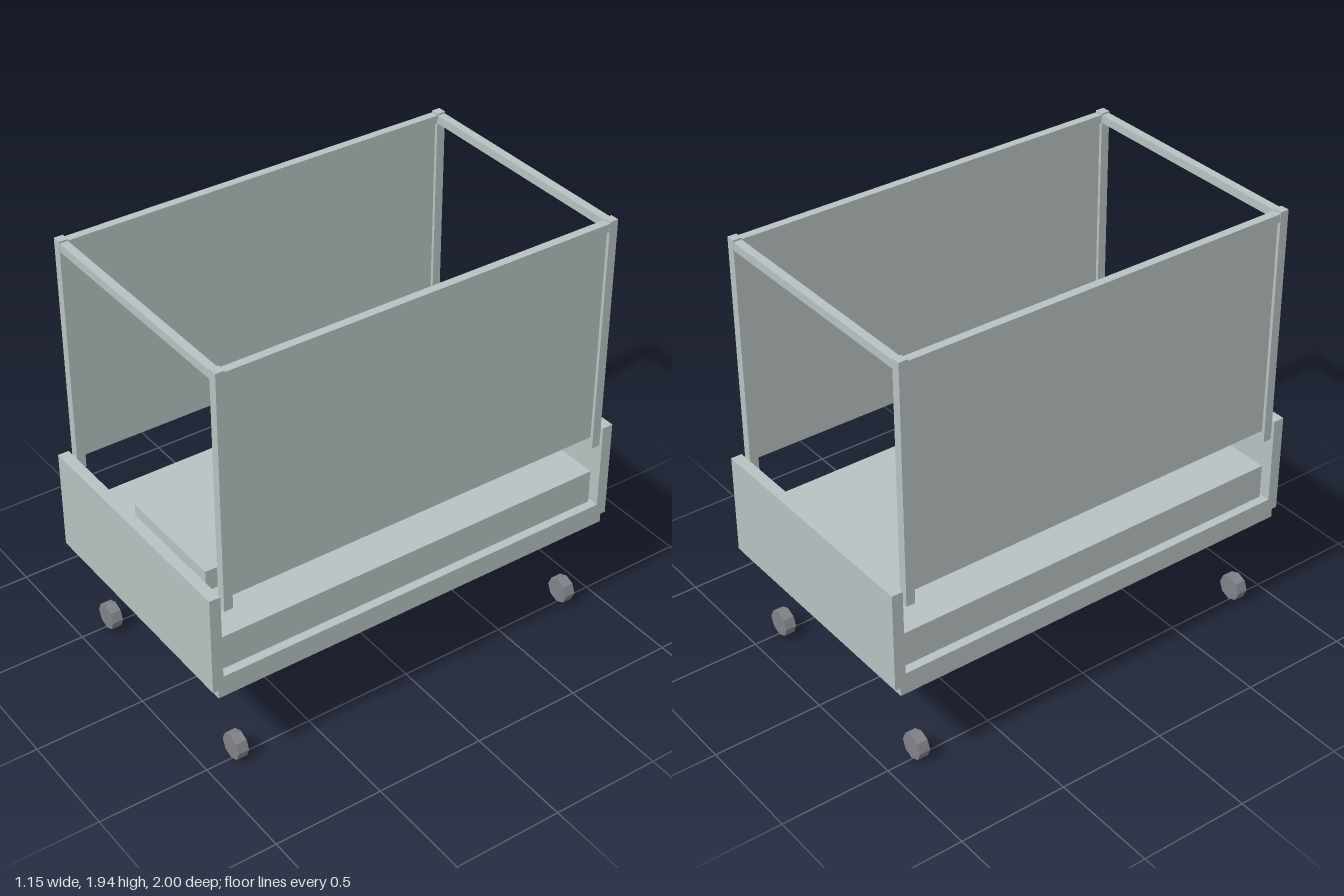
import * as THREE from 'three';

export function createModel() {
  const model = new THREE.Group();
  model.name = 'canopyBed';
  const paleGrey = new THREE.MeshStandardMaterial({ color: 0xb7c1c1 });
  paleGrey.name = 'paleGrey';
  const darkGrey = new THREE.MeshStandardMaterial({ color: 0x808288 });
  darkGrey.name = 'darkGrey';
  darkGrey.flatShading = true;

  // box from a size, the height of its underside and its centre
  const box = (name, w, h, d, x, bottom, z) => {
    const mesh = new THREE.Mesh(new THREE.BoxGeometry(w, h, d), paleGrey);
    mesh.name = name;
    mesh.position.set(x, bottom + h / 2, z);
    model.add(mesh);
  };

  // bed base, mattress and pillow
  box('bedBase', 1.15, 0.1, 1.95, 0, 0.43, 0);
  box('mattress', 1.07, 0.16, 1.87, 0, 0.53, 0);
  box('pillow', 0.535, 0.1, 0.335, 0, 0.69, 0.66);

  // end boards and the rails across the ends
  for (const [end, s] of [['front', 1], ['back', -1]]) {
    box(end + 'Board', 1.15, 0.46, 0.05, 0, 0.47, s * 0.975);
    box(end + 'Rail', 1.07, 0.037, 0.037, 0, 1.895, s * 0.915);
  }

  // side rails with the hanging panels
  for (const [side, s] of [['left', 1], ['right', -1]]) {
    box(side + 'Rail', 0.037, 0.037, 1.79, s * 0.555, 1.895, 0);
    box(side + 'Panel', 0.01, 0.995, 1.79, s * 0.555, 0.9, 0);
  }

  // corner posts and wheels
  const wheelGeometry = new THREE.CylinderGeometry(0.06, 0.06, 0.05, 8);
  wheelGeometry.rotateX(Math.PI / 2);
  for (const sx of [1, -1]) {
    for (const sz of [1, -1]) {
      const corner = (sz > 0 ? 'front' : 'back') + (sx > 0 ? 'Left' : 'Right');
      box(corner + 'Post', 0.04, 1.09, 0.04, sx * 0.555, 0.85, sz * 0.915);
      const wheel = new THREE.Mesh(wheelGeometry, darkGrey);
      wheel.name = corner + 'Wheel';
      wheel.position.set(sx * 0.495, 0.06, sz * 0.855);
      model.add(wheel);
    }
  }
  return model;
}
